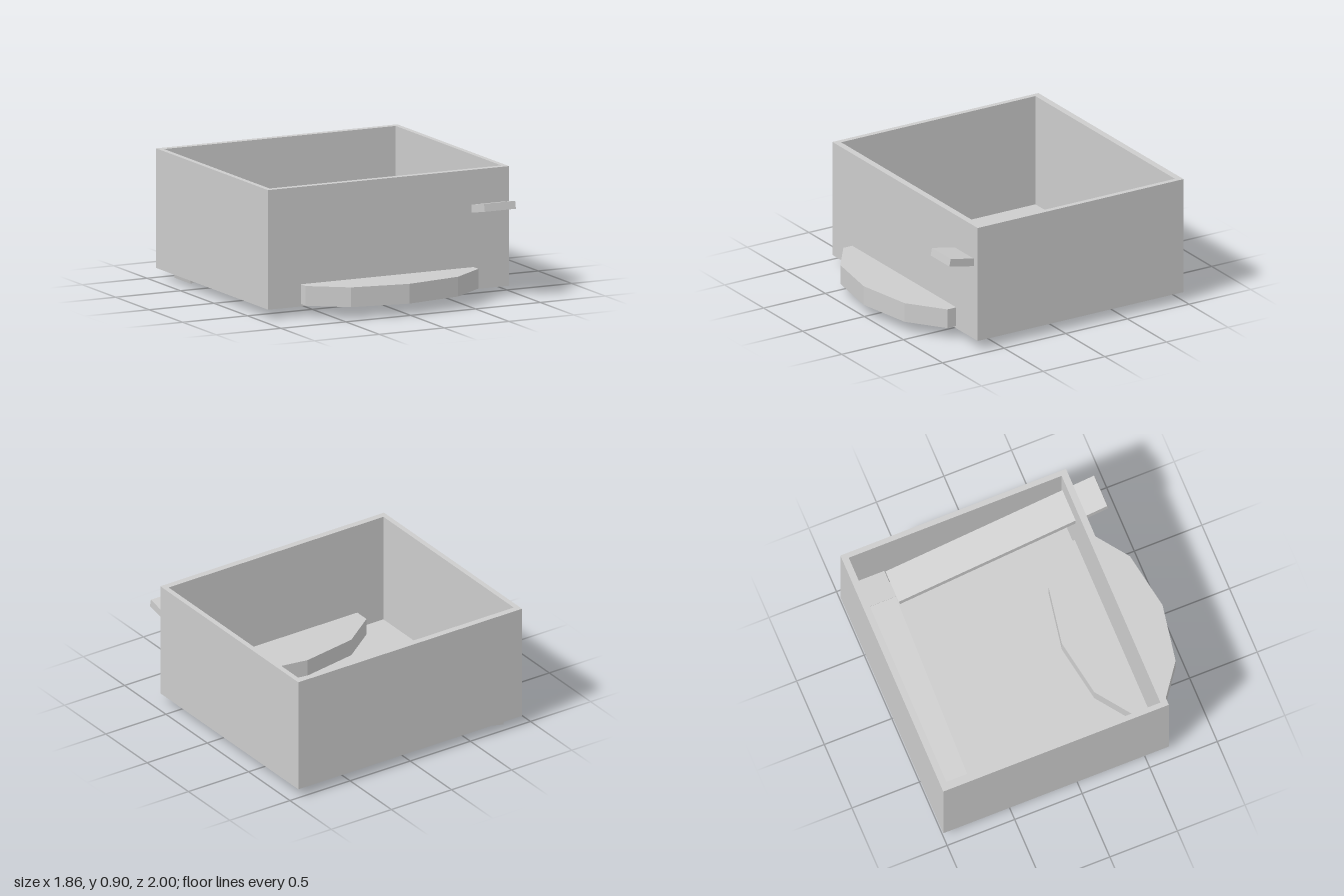
import * as THREE from 'three';

export function createModel() {
  const model = new THREE.Group();
  const grey = new THREE.MeshStandardMaterial({ color: 0xcccccc });
  grey.name = 'light grey';

  const add = (name, geometry) => {
    const mesh = new THREE.Mesh(geometry, grey);
    mesh.name = name;
    model.add(mesh);
    return mesh;
  };
  // Box given by its lower and upper corners
  const block = (name, [x0, y0, z0], [x1, y1, z1]) =>
    add(name, new THREE.BoxGeometry(x1 - x0, y1 - y0, z1 - z0))
      .position.set((x0 + x1) / 2, (y0 + y1) / 2, (z0 + z1) / 2);
  const rectangle = (target, x0, z0, x1, z1) =>
    target.moveTo(x0, z0).lineTo(x1, z0).lineTo(x1, z1).lineTo(x0, z1).closePath();

  // Open-topped box: four walls as one ring, and a floor
  const ring = rectangle(new THREE.Shape(), -0.93, -1, 0.93, 0.67);
  ring.holes.push(rectangle(new THREE.Path(), -0.893, -0.953, 0.893, 0.623));
  const walls = new THREE.ExtrudeGeometry(ring, { depth: 0.835, bevelEnabled: false });
  walls.rotateX(Math.PI / 2);
  add('walls', walls).position.y = 0.905;
  block('floor', [-0.893, 0.07, -0.953], [0.893, 0.105, 0.623]);

  // Ten-sided catch tray pushed through the front wall
  const tray = add('tray', new THREE.CylinderGeometry(1, 1, 0.138, 10).toNonIndexed());
  tray.geometry.scale(0.7, 1, 0.3725);
  tray.geometry.computeVertexNormals();
  tray.position.set(-0.01, 0.156, 0.627);

  // Sloping planks: the path of the top face runs along local x
  const plank = (name, length, width, angle) => {
    const geometry = new THREE.BoxGeometry(length, 0.055, width);
    geometry.translate(length / 2, -0.0275, 0);
    geometry.rotateZ(angle);
    return add(name, geometry);
  };

  // Upper ramp enters through the front wall and drops towards the back
  const upper = plank('upperRamp', 1.575, 0.24, -0.2);
  upper.rotation.y = Math.PI / 2;
  upper.position.set(0.76, 0.7, 0.857);

  // Lower ramp leaves the corner landing and comes out under the floor
  const lower = plank('lowerRamp', 1.56, 0.24, 0.2);
  lower.position.set(-0.834, 0.058, -0.81);

  block('cornerLanding', [0.69, 0.315, -0.932], [0.893, 0.37, -0.69]);

  return model;
}
